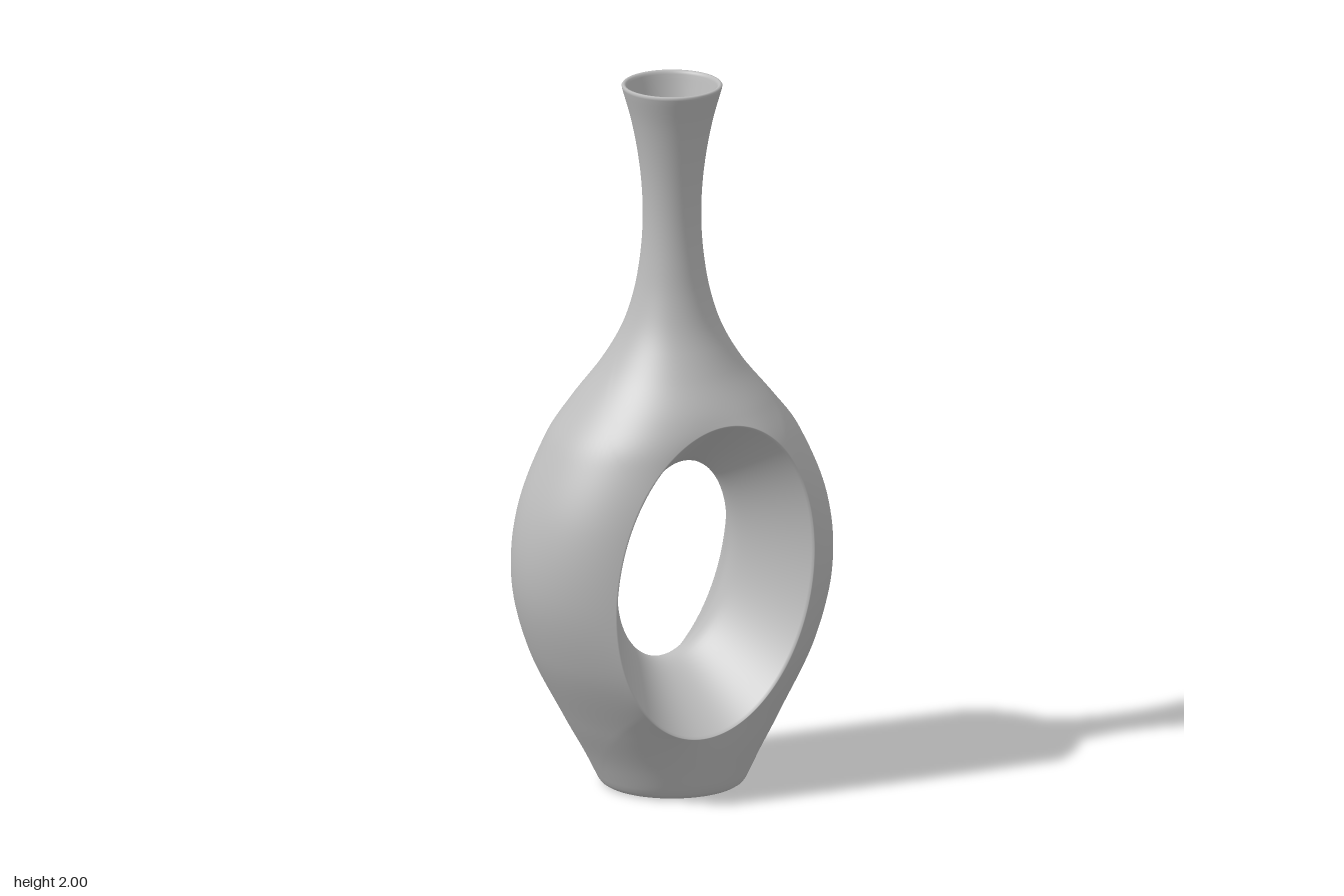
import * as THREE from 'three';
import { mergeGeometries, mergeVertices } from 'three/addons/utils/BufferGeometryUtils.js';

const SIDE = 48;                 // segments along each side of a body half
const Y0 = 0.03, Y1 = 1.25;      // body range, between foot and neck
const RIM_Z = 0.27;

// Smooth curve value(y) through [y, value] knots
function spline(knots) {
  const slope = (i) => {
    const a = knots[Math.max(i - 1, 0)], b = knots[Math.min(i + 1, knots.length - 1)];
    return (b[1] - a[1]) / (b[0] - a[0]);
  };
  return (y) => {
    let i = 0;
    while (i < knots.length - 2 && y > knots[i + 1][0]) i++;
    const [ya, a] = knots[i], [yb, b] = knots[i + 1];
    const h = yb - ya, t = (y - ya) / h, t2 = t * t, t3 = t2 * t;
    return a * (2 * t3 - 3 * t2 + 1) + b * (3 * t2 - 2 * t3)
      + h * (slope(i) * (t3 - 2 * t2 + t) + slope(i + 1) * (t3 - t2));
  };
}

// Half-width of the vase and its depth-to-width ratio by height
const width = spline([[0.03, 0.212], [0.1, 0.248], [0.2, 0.305], [0.4, 0.408], [0.6, 0.46],
  [0.8, 0.443], [1, 0.358], [1.1, 0.282], [1.2, 0.2], [1.3, 0.141], [1.4, 0.107], [1.5, 0.089],
  [1.6, 0.081], [1.7, 0.083], [1.8, 0.094], [1.9, 0.113], [1.99, 0.138]]);
const ratio = spline([[0.03, 1], [0.1, 0.96], [0.2, 0.9], [0.35, 0.85], [0.6, 0.79],
  [0.8, 0.8], [1, 0.87], [1.1, 0.94], [1.25, 1], [1.4, 1]]);

// Quad skin over rows of points; faces look out when rows run up and points run right
function skin(rows) {
  const n = rows[0].length, index = [];
  for (let i = 0; i < rows.length - 1; i++) {
    for (let k = 0; k < n - 1; k++) {
      const a = i * n + k, b = a + 1, c = b + n, d = a + n;
      index.push(a, b, c, a, c, d);
    }
  }
  const g = new THREE.BufferGeometry().setFromPoints(rows.flat());
  g.setIndex(index);
  return g;
}

// Leaning oval of the opening
const oval = (t, rx, ry, lean) => [rx * Math.cos(t), 0.637 + ry * Math.sin(t + lean)];

// One half of the body: a ring of surface around the opening, then the funnel to mid-depth
function bodyHalf(side) {
  const edge = [];
  for (let k = 0; k <= 4 * SIDE; k++) {
    const s = Math.floor(k / SIDE) % 4, f = -1 + 2 * (k % SIDE) / SIDE;
    edge.push([[1, f], [-f, 1], [-1, -f], [f, -1]][s]);
  }
  const rows = [];
  const OUT = 22, IN = 20;
  for (let i = 0; i <= OUT; i++) {
    const s = 1 - Math.pow(1 - i / OUT, 1.4);
    rows.push(edge.map(([u, v]) => {
      const [rx, ry] = oval(Math.atan2(v, u), 0.303, 0.443, 0.13);
      const rimAngle = Math.asin(rx / width(ry));
      const rimZ = width(ry) * ratio(ry) * Math.cos(rimAngle);
      const angle = THREE.MathUtils.lerp(u * Math.PI / 2, rimAngle, s);
      const y = THREE.MathUtils.lerp((Y0 + Y1) / 2 + v * (Y1 - Y0) / 2, ry, s);
      const w = width(y);
      const z = w * ratio(y) * Math.cos(angle) + (RIM_Z - rimZ) * s ** 3;
      return new THREE.Vector3(w * Math.sin(angle), y, side * z);
    }));
  }
  const e = 0.15;
  for (let i = 1; i <= IN; i++) {
    const q = 1 - Math.pow(i / IN, 1.15);
    const f = (Math.hypot(q, e) - e) / (Math.hypot(1, e) - e);
    rows.push(edge.map(([u, v]) => {
      const t = Math.atan2(v, u);
      const [ax, ay] = oval(t, 0.182, 0.278, 0.16), [bx, by] = oval(t, 0.303, 0.443, 0.13);
      return new THREE.Vector3(ax + (bx - ax) * f, ay + (by - ay) * f, side * q * RIM_Z);
    }));
  }
  if (side < 0) rows.forEach((r) => r.reverse());
  return skin(rows);
}

// Round parts from [radius, y] profiles
function turned(profile) {
  const n = 2 * SIDE;
  return skin(profile.map(([r, y]) => Array.from({ length: n + 1 }, (_, j) => {
    const a = 2 * Math.PI * j / n;
    return new THREE.Vector3(r * Math.sin(a), y, r * Math.cos(a));
  })));
}

export function createModel() {
  const group = new THREE.Group();
  group.name = 'vase';
  const glaze = new THREE.MeshStandardMaterial({ color: 0xbcbcbc });
  glaze.name = 'grey glaze';

  // Foot with a shallow recess underneath
  const foot = turned([[0, 0.03], [0.125, 0.03], [0.142, 0.027], [0.15, 0.018], [0.158, 0.006],
    [0.168, 0.001], [0.18, 0], [0.19, 0.002], [0.199, 0.008], [0.205, 0.016], [0.212, Y0]]);

  // Neck outside, lip, then the hollow inside
  const outside = Array.from({ length: 41 }, (_, i) => {
    const y = Y1 + (1.99 - Y1) * i / 40;
    return [width(y), y];
  });
  const lip = [[0.139, 1.996], [0.136, 2], [0.131, 2], [0.127, 1.996]];
  const inside = new THREE.SplineCurve([[0.125, 1.99], [0.1, 1.88], [0.071, 1.75], [0.06, 1.6],
    [0.073, 1.42], [0.12, 1.26], [0.14, 1.19], [0.12, 1.14], [0, 1.12]]
    .map((p) => new THREE.Vector2(...p))).getPoints(40).map((p) => [Math.max(p.x, 0), p.y]);
  const neck = turned([...outside, ...lip, ...inside]);

  // Weld everything into one smooth skin
  const geometry = mergeVertices(mergeGeometries([foot, bodyHalf(1), bodyHalf(-1), neck]), 1e-4);
  geometry.computeVertexNormals();
  const body = new THREE.Mesh(geometry, glaze);
  body.name = 'vaseBody';
  group.add(body);
  return group;
}
